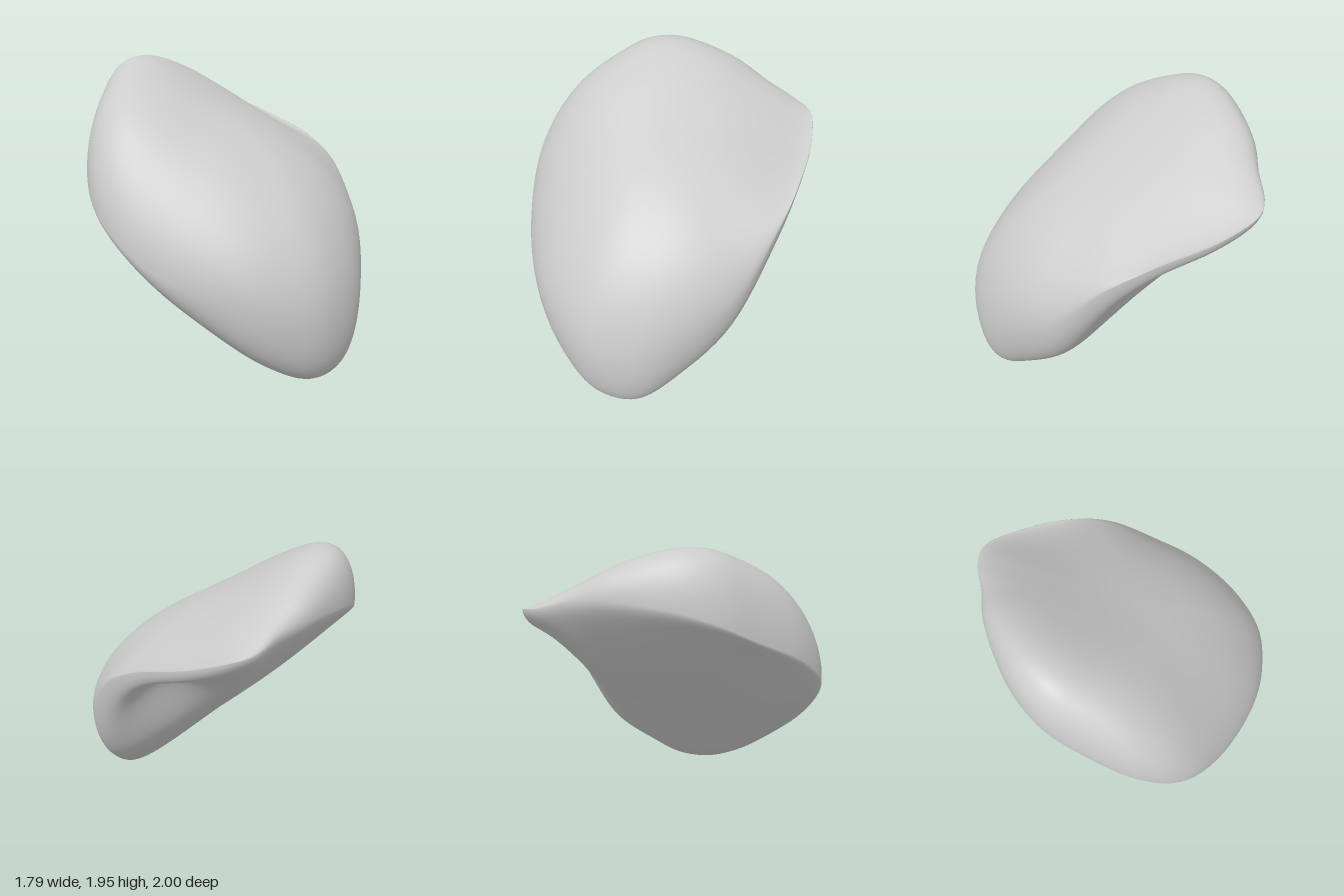
import * as THREE from 'three';
import { mergeVertices } from 'three/addons/utils/BufferGeometryUtils.js';

// Widest outline of the stone, clockwise from the back tip
const RIM = [
  [0.1, 1.54, -1], [0.33, 1.45, -0.87], [0.6, 1.33, -0.6], [0.76, 1.17, -0.37],
  [0.88, 0.8, -0.03], [0.885, 0.6, 0.3], [0.8, 0.38, 0.65], [0.6, 0.42, 0.88],
  [0.33, 0.5, 0.98], [0.03, 0.6, 1], [-0.42, 0.74, 0.9], [-0.75, 1.0, 0.7],
  [-0.88, 1.22, 0.42], [-0.885, 1.42, 0], [-0.85, 1.52, -0.2], [-0.72, 1.61, -0.44],
  [-0.42, 1.65, -0.73], [-0.2, 1.61, -0.86], [-0.04, 1.56, -0.97],
].map((p) => new THREE.Vector3(...p));

// Tilted upper dome
const dome = (x, z) =>
  1.62 - 0.5 * x + 0.15 * x * x - 0.2 * z - 0.2 * z * z + 0.3 * x * z;

// Sloping underside with a narrow hollow below the back left edge
function underside(x, z, u) {
  const slope =
    0.82 - 0.65 * x - 0.08 * x * x - 0.66 * z - 0.12 * z * z - 0.17 * x * z;
  const along = (x + z + 0.06) / Math.SQRT2;
  const across = (x - z - 1.02) / Math.SQRT2;
  const hollow = 0.36 * Math.exp(-((along / 0.38) ** 2) - (across / 0.15) ** 2);
  return slope - 0.09 * (1 - u * u) + hollow;
}

function stoneGeometry(rows = 80, cols = 128) {
  const rim = new THREE.CatmullRomCurve3(RIM, true, 'centripetal').getSpacedPoints(cols);
  const positions = [];
  const index = [];
  for (let i = 0; i <= rows; i++) {
    const u = i === rows ? 0 : Math.sin((i / rows) * Math.PI);
    const isTop = i <= rows / 2;
    // Blend from the rim to the dome or underside
    const w = Math.sqrt(Math.max(0, 1 - u ** (isTop ? 3 : 4)));
    for (let j = 0; j <= cols; j++) {
      const p = rim[j % cols];
      const x = p.x * u;
      const z = p.z * u;
      const y = isTop ? dome(x, z) : underside(x, z, u);
      positions.push(x, THREE.MathUtils.lerp(p.y, y, w), z);
      if (i < rows && j < cols) {
        const a = i * (cols + 1) + j;
        const b = a + cols + 1;
        index.push(a, a + 1, b, a + 1, b + 1, b);
      }
    }
  }
  let geometry = new THREE.BufferGeometry();
  geometry.setAttribute('position', new THREE.Float32BufferAttribute(positions, 3));
  geometry.setIndex(index);
  geometry = mergeVertices(geometry, 1e-5);

  // Rest it on the ground
  geometry.computeBoundingBox();
  geometry.translate(0, -geometry.boundingBox.min.y, 0);
  geometry.computeVertexNormals();
  return geometry;
}

export function createModel() {
  const group = new THREE.Group();
  group.name = 'rock';
  const stone = new THREE.Mesh(
    stoneGeometry(),
    new THREE.MeshStandardMaterial({ color: 0xcccccc }),
  );
  stone.name = 'stone';
  group.add(stone);
  return group;
}
